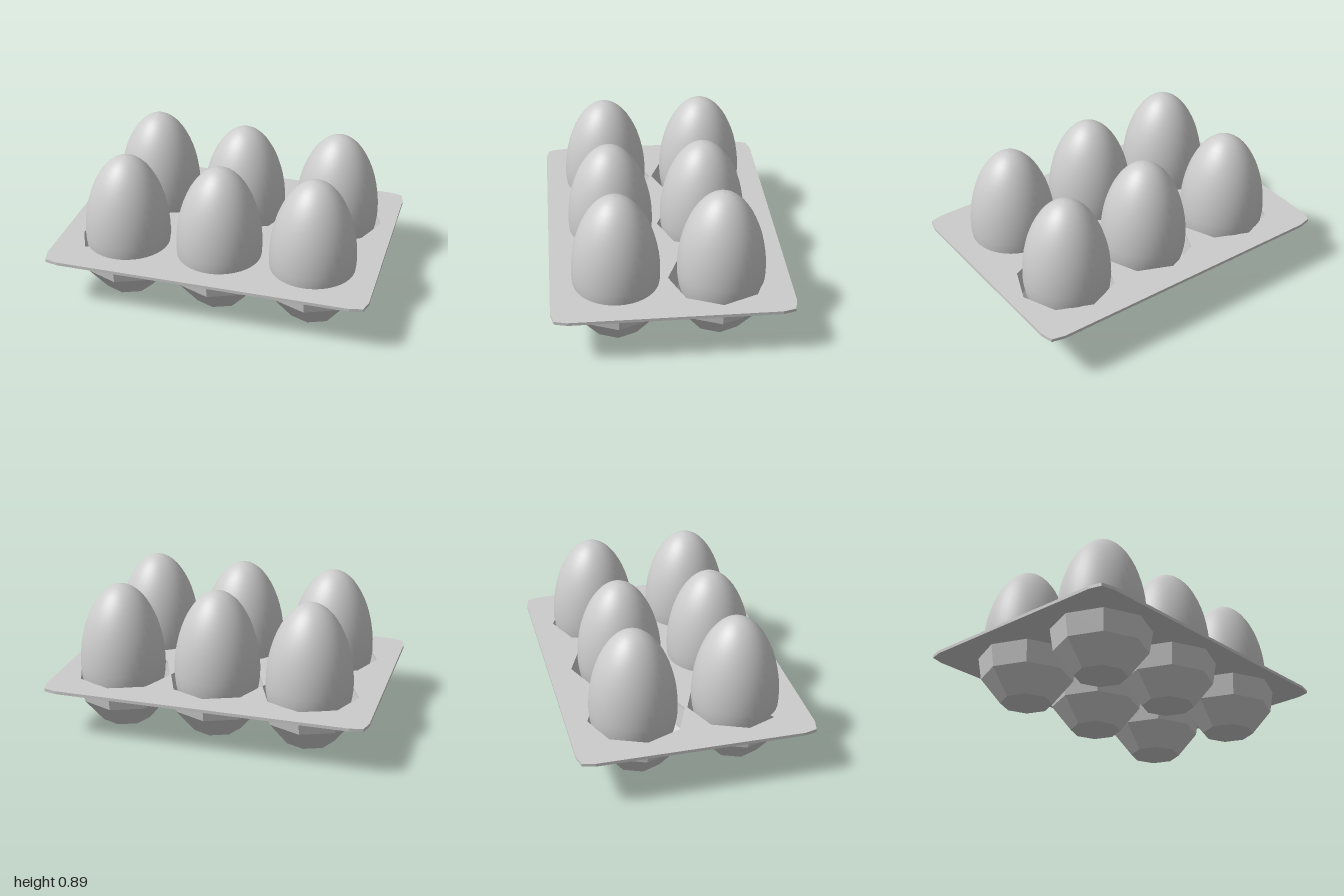
import * as THREE from 'three';

export function createModel() {
  const group = new THREE.Group();
  group.name = 'eggTray';
  const grey = new THREE.MeshStandardMaterial({ color: 0xcccccc });
  grey.name = 'grey';
  const cupGrey = grey.clone();
  cupGrey.name = 'grey faceted';
  cupGrey.flatShading = true;
  cupGrey.side = THREE.DoubleSide;

  const add = (name, geometry, material, x = 0, y = 0, z = 0) => {
    const mesh = new THREE.Mesh(geometry, material);
    mesh.name = name;
    mesh.position.set(x, y, z);
    group.add(mesh);
  };

  // Cup centres and egg centres, slightly uneven
  const places = [
    { cup: [-0.577, 0.322], egg: [-0.576, 0.32] },
    { cup: [0.016, 0.322], egg: [0.015, 0.32] },
    { cup: [0.613, 0.322], egg: [0.6, 0.32] },
    { cup: [-0.577, -0.287], egg: [-0.576, -0.307] },
    { cup: [0.016, -0.273], egg: [0.015, -0.26] },
    { cup: [0.613, -0.287], egg: [0.615, -0.307] },
  ];

  // Thin plate with clipped corners and eight-sided openings
  const corner = [[1, 0.62], [0.98, 0.695], [0.9, 0.714]];
  const flip = (sx, sy, list) => list.map(([x, y]) => new THREE.Vector2(sx * x, sy * y));
  const rev = [...corner].reverse();
  const plate = new THREE.Shape([
    ...flip(1, 1, corner), ...flip(-1, 1, rev),
    ...flip(-1, -1, corner), ...flip(1, -1, rev),
  ]);
  for (const { cup: [x, z] } of places) {
    const hole = [];
    for (let i = 0; i < 8; i++) {
      const a = -i * Math.PI / 4;
      hole.push(new THREE.Vector2(x + 0.297 * Math.cos(a), -z + 0.297 * Math.sin(a)));
    }
    plate.holes.push(new THREE.Path(hole));
  }
  const plateGeo = new THREE.ExtrudeGeometry(plate, { depth: 0.019, bevelEnabled: false });
  plateGeo.rotateX(-Math.PI / 2);
  add('plate', plateGeo, grey, 0, 0.293, 0);

  // Faceted cup: closed floor, kinked wall, open top
  const cupGeo = new THREE.LatheGeometry(
    [[0, 0.005], [0.157, 0.005], [0.278, 0.157], [0.3, 0.298]]
      .map(([r, y]) => new THREE.Vector2(r, y)), 8);

  // Smooth egg: blunt below, longer and narrower above
  const profile = [];
  const steps = 28;
  const belly = 0.38;
  for (let i = 0; i <= steps; i++) {
    const t = -Math.PI / 2 + Math.PI * i / steps;
    const s = Math.sin(t);
    const y = belly + s * (s < 0 ? belly : 0.508);
    const taper = s > 0 ? 1 - 0.06 * s * s : 1;
    profile.push(new THREE.Vector2(Math.max(0, 0.264 * Math.cos(t) * taper), y));
  }
  const eggGeo = new THREE.LatheGeometry(profile, 40);

  places.forEach(({ cup, egg }, i) => {
    add(`cup${i + 1}`, cupGeo, cupGrey, cup[0], 0, cup[1]);
    add(`egg${i + 1}`, eggGeo, grey, egg[0], 0, egg[1]);
  });
  return group;
}
